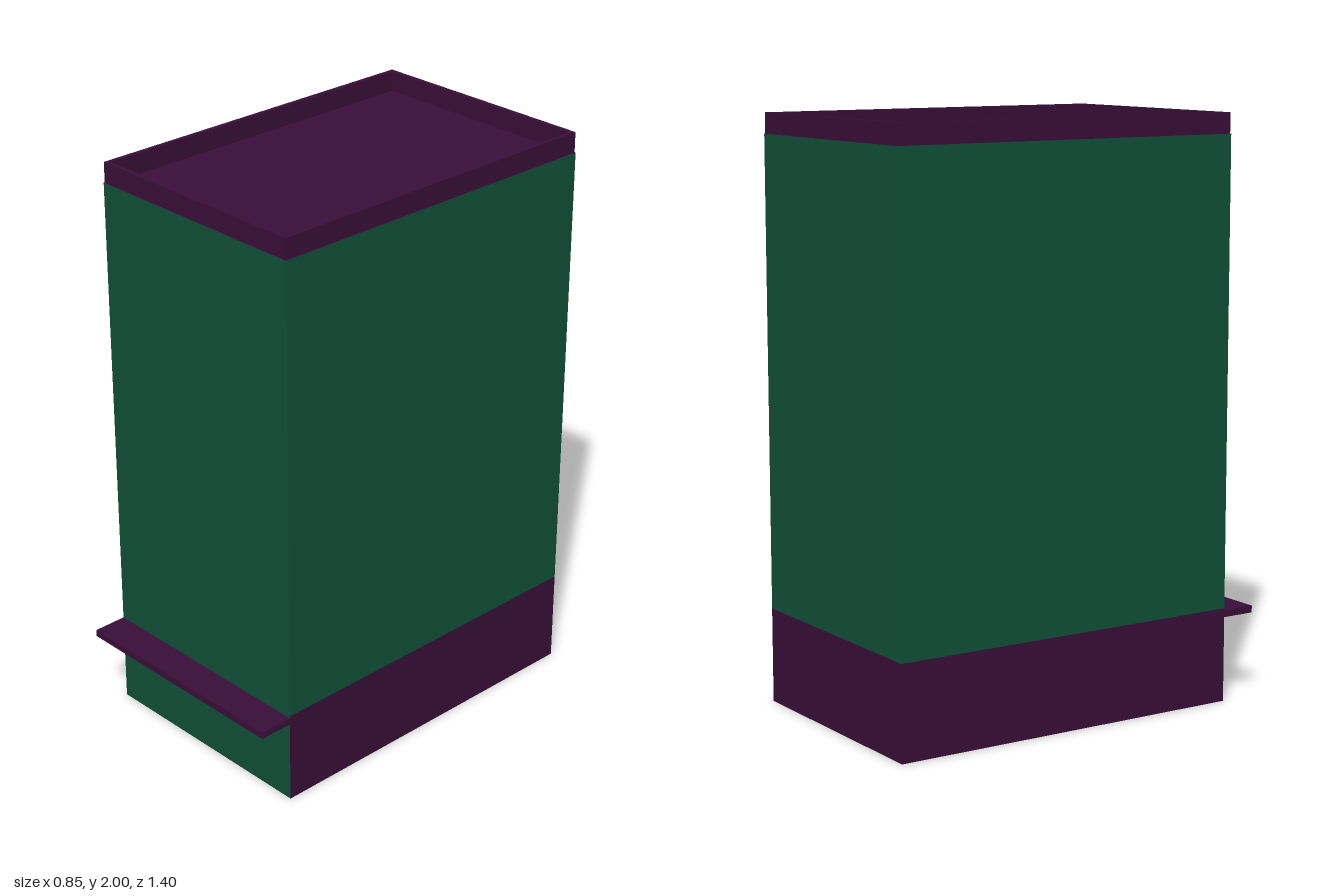
import * as THREE from 'three';

const W = 0.85, BACK = -0.7, FRONT = 0.58;
const D = FRONT - BACK, MID = (FRONT + BACK) / 2;
const TOP = 1.93, PLINTH = 0.325;

export function createModel() {
  const model = new THREE.Group();
  model.name = 'cabinet';

  const green = new THREE.MeshStandardMaterial({ color: 0x105037, side: THREE.DoubleSide });
  green.name = 'green';
  const purple = new THREE.MeshStandardMaterial({ color: 0x390e37, side: THREE.DoubleSide });
  purple.name = 'purple';

  const add = (name, geometry, material) => {
    const mesh = new THREE.Mesh(geometry, material);
    mesh.name = name;
    model.add(mesh);
    return mesh;
  };

  // Thin upright panel between two heights, turned about y
  const wall = (name, width, y0, y1, x, z, turn, material) => {
    const mesh = add(name, new THREE.PlaneGeometry(width, y1 - y0), material);
    mesh.position.set(x, (y0 + y1) / 2, z);
    mesh.rotation.y = turn;
  };

  // Open-bottomed shell: plain front, two-tone sides and back
  wall('frontPanel', W, 0, TOP, 0, FRONT, 0, green);
  for (const [part, y0, y1, material] of [['Plinth', 0, PLINTH, purple], ['Panel', PLINTH, TOP, green]]) {
    wall('left' + part, D, y0, y1, W / 2, MID, Math.PI / 2, material);
    wall('right' + part, D, y0, y1, -W / 2, MID, -Math.PI / 2, material);
    wall('back' + part, W, y0, y1, 0, BACK, Math.PI, material);
  }

  // Recessed top
  const lid = add('topPanel', new THREE.PlaneGeometry(W, D), purple);
  lid.rotation.x = -Math.PI / 2;
  lid.position.set(0, TOP, MID);

  // Raised rim around the top
  const rectangle = (PathType, w, d) => new PathType().moveTo(-w / 2, -d / 2)
    .lineTo(w / 2, -d / 2).lineTo(w / 2, d / 2).lineTo(-w / 2, d / 2).closePath();
  const outline = rectangle(THREE.Shape, W - 0.006, D - 0.004);
  outline.holes.push(rectangle(THREE.Path, W - 0.038, D - 0.036));
  const rim = add('topRim', new THREE.ExtrudeGeometry(outline, { depth: 2 - TOP, bevelEnabled: false }), purple);
  rim.rotation.x = -Math.PI / 2;
  rim.position.set(0, TOP, MID);

  // Front shelf
  const shelf = add('frontShelf', new THREE.BoxGeometry(W, 0.024, 0.12), purple);
  shelf.position.set(0, 0.306, FRONT + 0.06);

  return model;
}
